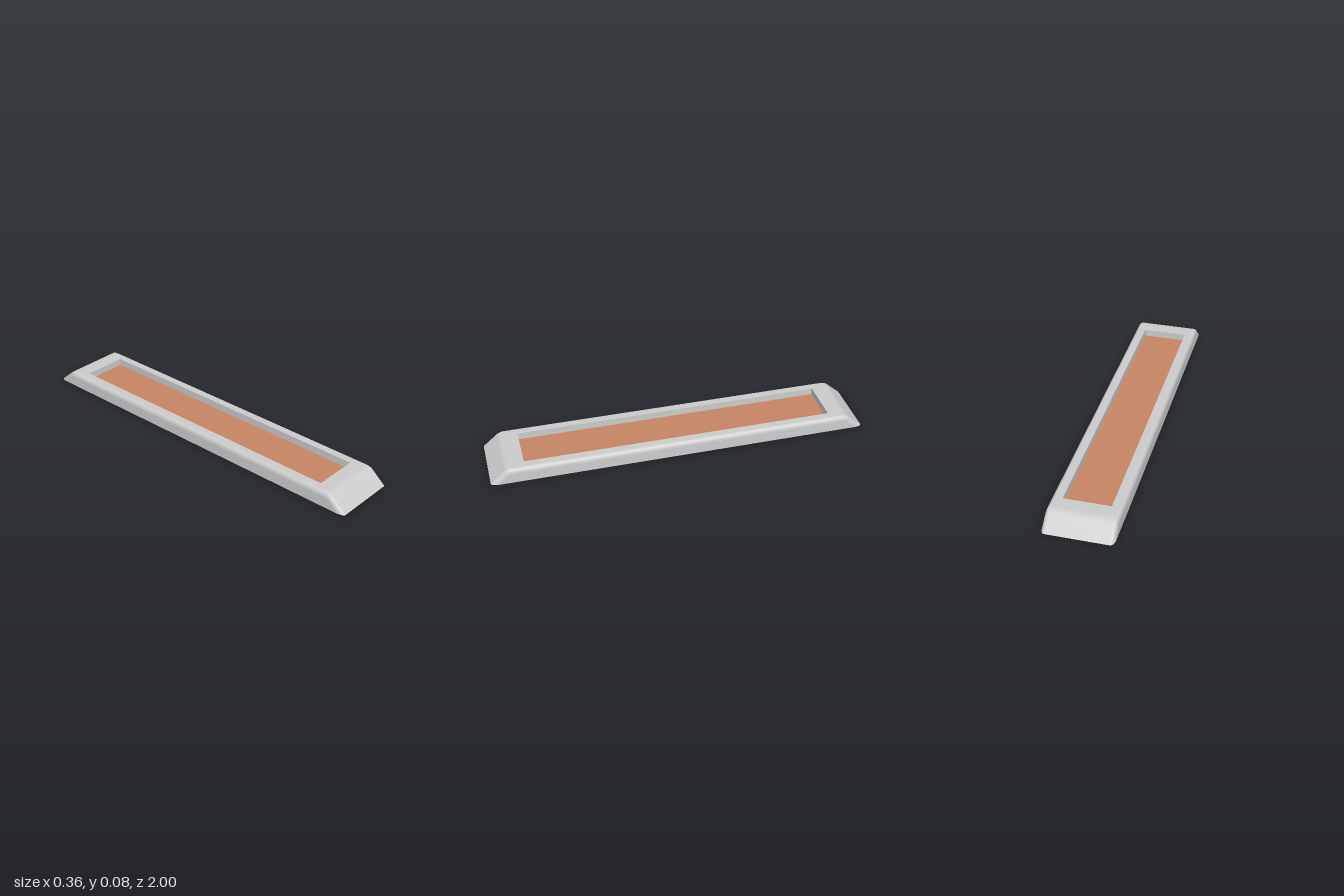
import * as THREE from 'three';

const HALF_W = 0.178, BEVEL = 0.021, STEPS = 8;
const OPEN_X = 0.12, OPEN_Z = 0.82, TOP = 0.078, PANEL_Y = 0.04;

const sideX = (y) => HALF_W - 0.04 * y; // side walls lean in slightly

// Lengthwise outline as [z, y] points: sloped end, rounded shoulder, flat top, mirrored
function outline(foot, startZ, startY, cornerZ, top) {
  const v = (x, y) => new THREE.Vector2(x, y);
  const curve = new THREE.QuadraticBezierCurve(v(startZ, startY), v(cornerZ, top), v(0.885, top));
  const half = [v(foot, 0), ...curve.getPoints(STEPS), v(OPEN_Z, top)];
  return [...half, ...half.slice().reverse().map((p) => v(-p.x, p.y))];
}

const outer = outline(1, 0.925, 0.065, 0.91, TOP);
const inner = outline(0.96, 0.915, 0.039, 0.902, 0.051);

// Sloped ends, top rim and rounded long edges as one grid, with the opening left out
function rimGeometry() {
  const pos = [], index = [];
  const rows = outer.length, cols = 2 * (STEPS + 1) + 2;
  for (let i = 0; i < rows; i++) {
    const a = inner[i], b = outer[i];
    const right = [];
    for (let k = STEPS; k >= 0; k--) {
      const t = (k / STEPS) * Math.PI / 2;
      const p = a.clone().lerp(b, Math.sin(t));
      right.push([sideX(a.y) - BEVEL * (1 - Math.cos(t)), p.y, p.x]);
    }
    right.unshift([OPEN_X, b.y, b.x]);
    const left = right.slice().reverse().map(([x, y, z]) => [-x, y, z]);
    for (const p of [...left, ...right]) pos.push(...p);
  }
  for (let i = 0; i < rows - 1; i++) {
    for (let j = 0; j < cols - 1; j++) {
      if (i === rows / 2 - 1 && j === cols / 2 - 1) continue;
      const a = i * cols + j, b = a + 1, c = a + cols, d = c + 1;
      index.push(a, b, c, b, d, c);
    }
  }
  const g = new THREE.BufferGeometry();
  g.setAttribute('position', new THREE.Float32BufferAttribute(pos, 3));
  g.setIndex(index);
  g.computeVertexNormals();
  return g;
}

// Flat long side below the rounded edge
function sideGeometry(sign) {
  const g = new THREE.ShapeGeometry(new THREE.Shape(inner));
  g.rotateY(sign * Math.PI / 2);
  const p = g.attributes.position;
  for (let i = 0; i < p.count; i++) p.setX(i, sign * sideX(p.getY(i)));
  g.computeVertexNormals();
  return g;
}

export function createModel() {
  const group = new THREE.Group();
  group.name = 'framedPanel';
  const grey = new THREE.MeshStandardMaterial({ color: 0xcccccc, side: THREE.DoubleSide });
  const brown = new THREE.MeshStandardMaterial({ color: 0xc68563, side: THREE.DoubleSide });
  const add = (name, geometry, material) => {
    const mesh = new THREE.Mesh(geometry, material);
    mesh.name = name;
    group.add(mesh);
    return mesh;
  };

  add('rim', rimGeometry(), grey);
  add('leftSide', sideGeometry(1), grey);
  add('rightSide', sideGeometry(-1), grey);

  // Walls of the recess, facing inward
  const depth = TOP - PANEL_Y, midY = (TOP + PANEL_Y) / 2;
  for (const s of [1, -1]) {
    const long = new THREE.PlaneGeometry(2 * OPEN_Z, depth);
    long.rotateY(-s * Math.PI / 2).translate(s * OPEN_X, midY, 0);
    add(s > 0 ? 'leftRecessWall' : 'rightRecessWall', long, grey);
    const short = new THREE.PlaneGeometry(2 * OPEN_X, depth);
    short.rotateY(s > 0 ? Math.PI : 0).translate(0, midY, s * OPEN_Z);
    add(s > 0 ? 'frontRecessWall' : 'backRecessWall', short, grey);
  }

  // Recessed panel
  const panel = new THREE.PlaneGeometry(2 * OPEN_X, 2 * OPEN_Z);
  panel.rotateX(-Math.PI / 2).translate(0, PANEL_Y, 0);
  add('panel', panel, brown);
  return group;
}
